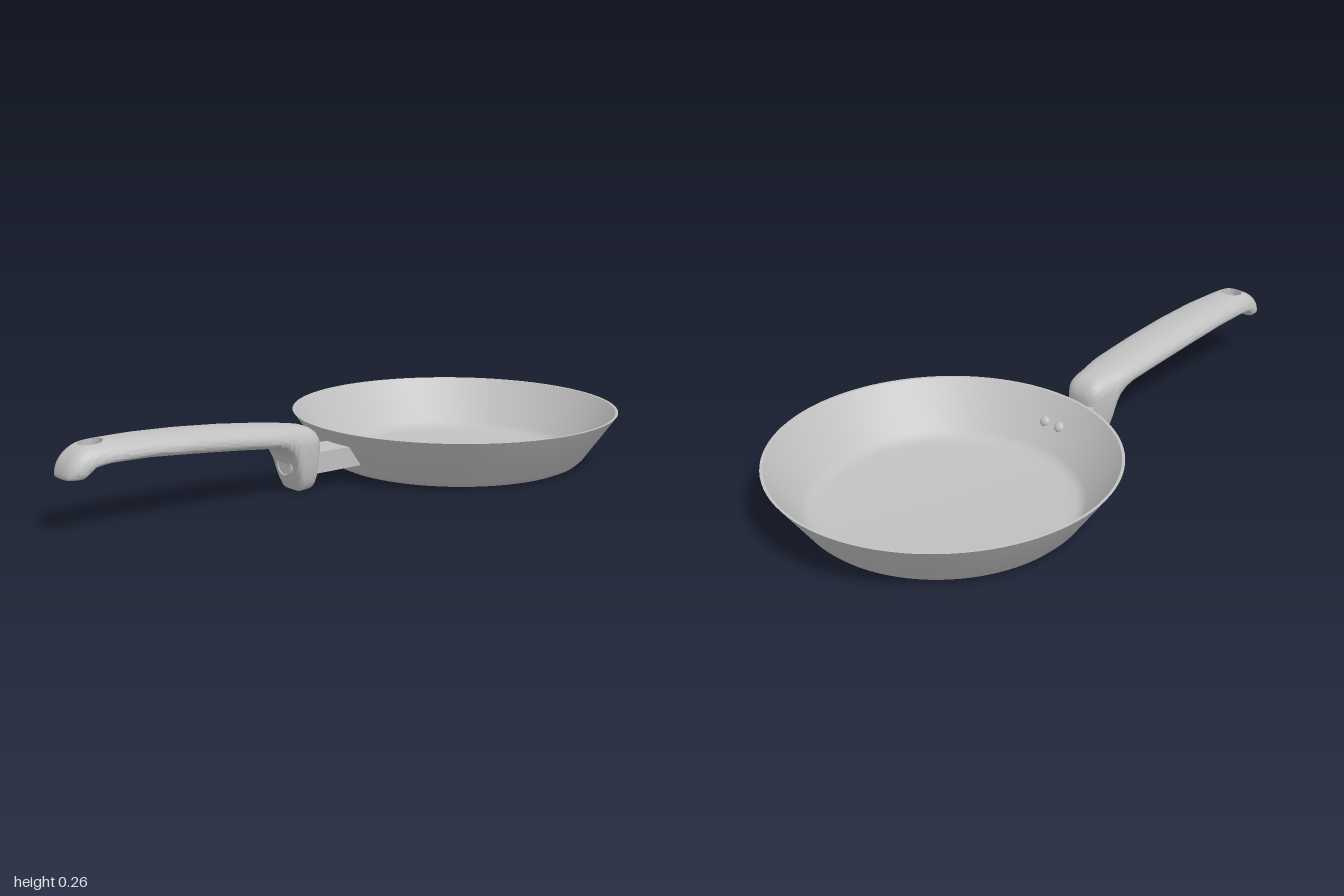
import * as THREE from 'three';
import { toCreasedNormals } from 'three/addons/utils/BufferGeometryUtils.js';

const metal = new THREE.MeshStandardMaterial({ color: 0xc0c0c0 });
metal.name = 'grey metal';

const PAN_Z = -0.47;
const BACK = 0.12, SPLIT = 0.82, HOLE_Z = 0.9, HOLE_R = 0.035;

// Handle profile: z, top, widest height, bottom, half width
const PROFILE = [
  [0.12, 0.195, 0.14, 0.02, 0.056],
  [0.15, 0.2, 0.145, 0.004, 0.066],
  [0.2, 0.208, 0.15, 0.004, 0.074],
  [0.212, 0.21, 0.152, 0.03, 0.075],
  [0.225, 0.212, 0.156, 0.08, 0.077],
  [0.24, 0.215, 0.162, 0.115, 0.078],
  [0.265, 0.218, 0.172, 0.14, 0.08],
  [0.3, 0.223, 0.178, 0.154, 0.081],
  [0.45, 0.24, 0.195, 0.17, 0.083],
  [0.6, 0.252, 0.208, 0.184, 0.083],
  [0.75, 0.259, 0.215, 0.196, 0.08],
  [0.88, 0.26, 0.212, 0.198, 0.073],
  [0.92, 0.259, 0.205, 0.19, 0.07],
  [0.95, 0.257, 0.188, 0.16, 0.068],
  [1.0, 0.25, 0.168, 0.153, 0.064],
];

function section(z) {
  let i = 0;
  while (i < PROFILE.length - 2 && z > PROFILE[i + 1][0]) i++;
  const a = PROFILE[i], b = PROFILE[i + 1];
  const t = THREE.MathUtils.clamp((z - a[0]) / (b[0] - a[0]), 0, 1);
  return a.map((v, k) => v + (b[k] - v) * t);
}

// Runs from 0 to 1 at the rounded back and tip of the handle
const endAmount = (z) => Math.min(1, Math.max(0, (0.19 - z) / 0.07, (z - 0.86) / 0.14));
const outline = (z) => section(z)[4] * Math.pow(Math.max(0, 1 - endAmount(z) ** 4), 0.25);

// Point on the upper or lower skin above a plan position
function skin([x, z], upper) {
  const [, top, edge, bottom, w] = section(z);
  const u = Math.min(1, Math.pow(Math.abs(x / w) ** 4 + endAmount(z) ** 4, 0.25));
  const y = upper
    ? edge + (top - edge) * Math.sqrt(1 - u ** 2.5)
    : edge - (edge - bottom) * Math.sqrt(1 - u ** 5);
  return [x, y, z];
}

function patch(out, ni, nj, point, flip) {
  for (let i = 0; i < ni; i++) {
    for (let j = 0; j < nj; j++) {
      const a = point(i, j), b = point(i + 1, j), c = point(i + 1, j + 1), d = point(i, j + 1);
      out.push(...(flip ? [a, c, b, a, d, c] : [a, b, c, a, c, d]).flat());
    }
  }
}

function handleGeometry() {
  const out = [], COLS = 24, RINGS = 10, ARC = 24;
  const across = (j) => Math.sin((j / COLS - 0.5) * Math.PI);

  // Lengthwise stations, dense around the lug
  const zs = [];
  for (let i = 0; i < 10; i++) zs.push(0.19 - 0.07 * Math.cos((i / 10) * Math.PI / 2));
  for (let z = 0.19; z < 0.3; z += 0.005) zs.push(z);
  for (let i = 0; i <= 20; i++) zs.push(0.3 + (SPLIT - 0.3) * i / 20);
  zs[0] = BACK;
  const bodyPoint = (i, j) => [across(j) * outline(zs[i]), zs[i]];

  // Closed loop around the tip section
  const right = [];
  for (let i = 0; i < 4; i++) {
    const z = SPLIT + 0.01 * i;
    right.push([outline(z), z]);
  }
  for (let i = 0; i <= ARC; i++) {
    const a = (i / ARC) * Math.PI / 2, z = 0.86 + 0.14 * Math.sqrt(Math.sin(a));
    right.push([section(z)[4] * Math.sqrt(Math.max(0, Math.cos(a))), z]);
  }
  const left = right.slice(0, -1).reverse().map(([x, z]) => [-x, z]);
  const loop = [...right, ...left];
  for (let j = 1; j < COLS; j++) loop.push([across(j) * outline(SPLIT), SPLIT]);
  const tipPoint = (i, j) => {
    const [x, z] = loop[i % loop.length], a = Math.atan2(z - HOLE_Z, x);
    const t = j === RINGS ? 1 : Math.sin((j / RINGS) * Math.PI / 2);
    const hx = HOLE_R * Math.cos(a), hz = HOLE_Z + HOLE_R * Math.sin(a);
    return [hx + (x - hx) * t, hz + (z - hz) * t];
  };

  for (const upper of [true, false]) {
    patch(out, zs.length - 1, COLS, (i, j) => skin(bodyPoint(i, j), upper), !upper);
    patch(out, loop.length, RINGS, (i, j) => skin(tipPoint(i, j), upper), !upper);
  }
  // Wall of the hanging hole
  patch(out, loop.length, 1, (i, j) => skin(tipPoint(i, 0), j === 1), false);

  const g = new THREE.BufferGeometry();
  g.setAttribute('position', new THREE.Float32BufferAttribute(out, 3));
  return toCreasedNormals(g, 0.9);
}

export function createModel() {
  const model = new THREE.Group();
  model.name = 'fryingPan';
  const add = (name, geometry, x = 0, y = 0, z = 0) => {
    const mesh = new THREE.Mesh(geometry, metal);
    mesh.name = name;
    mesh.position.set(x, y, z);
    model.add(mesh);
    return mesh;
  };

  // Flared bowl with a thin wall
  const bowl = [
    [0, 0], [0.37, 0], [0.392, 0.003], [0.41, 0.011], [0.427, 0.027], [0.53, 0.17],
    [0.521, 0.17], [0.42, 0.032], [0.408, 0.02], [0.393, 0.013], [0.37, 0.01], [0, 0.01],
  ].map(([r, y]) => new THREE.Vector2(r, y));
  add('bowl', toCreasedNormals(new THREE.LatheGeometry(bowl, 96), 0.7), 0, 0, PAN_Z);

  // Bracket cut to the slope of the bowl
  const side = new THREE.Shape([[-0.027, 0.055], [0.18, 0.055], [0.18, 0.12], [0.02, 0.12]]
    .map(([z, y]) => new THREE.Vector2(z, y)));
  const bracket = new THREE.ExtrudeGeometry(side, { depth: 0.11, bevelEnabled: false });
  bracket.rotateY(-Math.PI / 2).translate(0.055, 0, 0);
  add('bracket', bracket);

  add('handle', handleGeometry());

  // Screw set in the lug
  add('screwCollar', new THREE.TorusGeometry(0.033, 0.005, 10, 40), 0, 0.085, 0.227);
  const screw = add('screw', new THREE.CylinderGeometry(0.03, 0.03, 0.03, 40), 0, 0.085, 0.214);
  screw.rotation.x = Math.PI / 2;

  // Rivets on the inner wall
  for (const s of [-1, 1]) {
    const rivet = add('rivet', new THREE.SphereGeometry(0.017, 20, 12), s * 0.03, 0.095, -0.003);
    rivet.scale.z = 0.7;
    rivet.rotation.x = 0.62;
  }
  return model;
}
